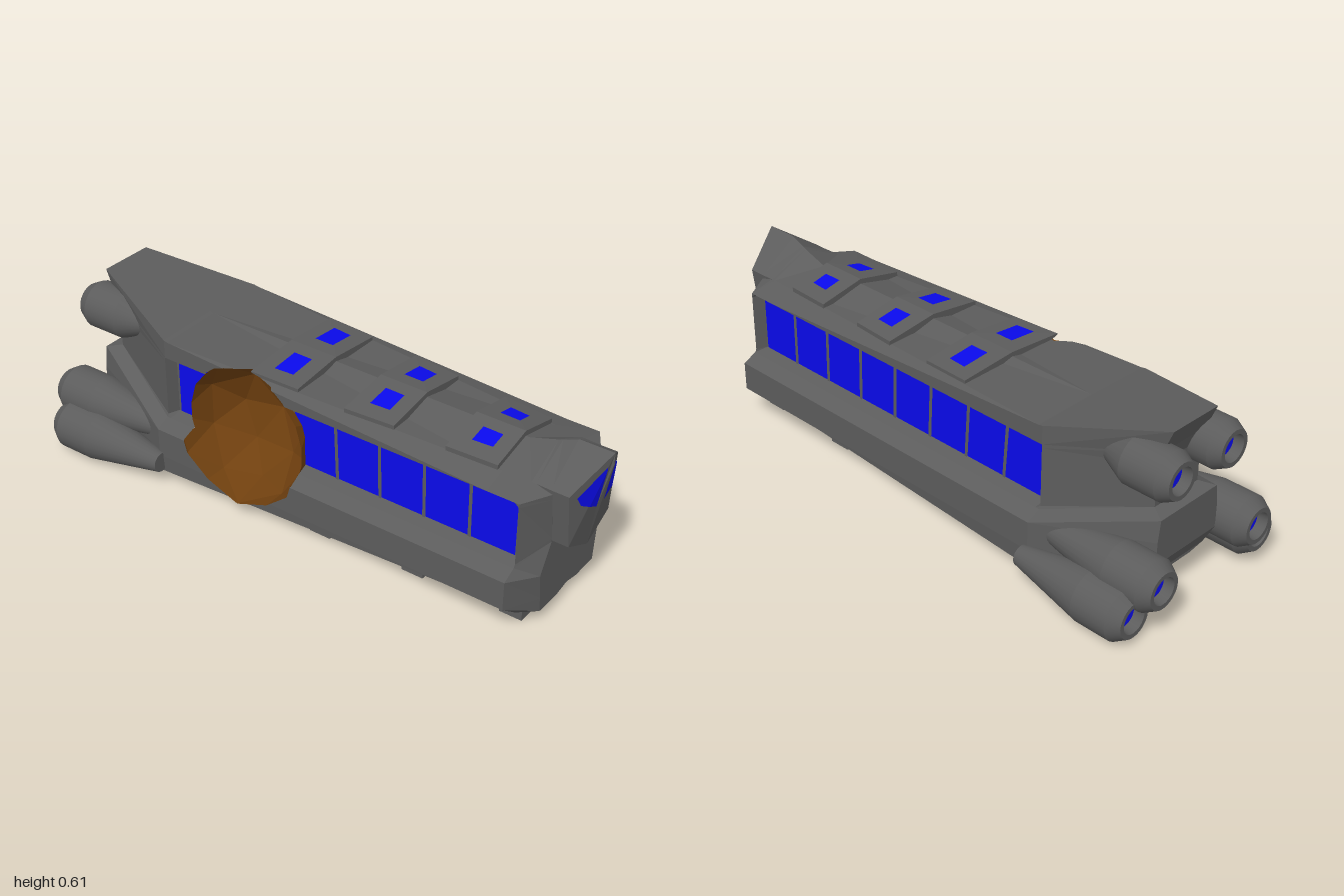
import * as THREE from 'three';

const grey = new THREE.MeshStandardMaterial({ color: 0x5c5c5c, flatShading: true });
const smoothGrey = new THREE.MeshStandardMaterial({ color: 0x5c5c5c });
const blue = new THREE.MeshStandardMaterial({ color: 0x0a0aea, side: THREE.DoubleSide });
const brown = new THREE.MeshStandardMaterial({ color: 0x70400f, side: THREE.DoubleSide, flatShading: true });
const V = (x, y, z) => new THREE.Vector3(x, y, z);

// Faceted ball that is carved out of the -x side as blast damage
const ballFaces = [], ballPlanes = [];
{
  const p = new THREE.IcosahedronGeometry(0.248, 1).translate(-0.285, 0.3, -0.19).attributes.position;
  for (let i = 0; i < p.count; i += 3) {
    const face = [0, 1, 2].map(k => new THREE.Vector3().fromBufferAttribute(p, i + k));
    ballFaces.push(face);
    ballPlanes.push(new THREE.Plane().setFromCoplanarPoints(...face));
  }
}

// Splits a polygon by a plane into its outer and inner parts
function split(poly, plane) {
  const outer = [], inner = [];
  poly.forEach((p, i) => {
    const q = poly[(i + 1) % poly.length];
    const d = plane.distanceToPoint(p), e = plane.distanceToPoint(q);
    if (d >= 0) outer.push(p);
    if (d <= 0) inner.push(p);
    if (d * e < 0) {
      const m = p.clone().lerp(q, d / (d - e));
      outer.push(m);
      inner.push(m);
    }
  });
  return [outer, inner];
}

// The parts of a polygon that lie outside the ball
function carve(poly) {
  const kept = [];
  let rest = poly;
  for (const plane of ballPlanes) {
    const [outer, inner] = split(rest, plane);
    if (inner.length < 3) return [poly];
    if (outer.length > 2) kept.push(outer);
    rest = inner;
  }
  return kept;
}

// Collects flat polygons for the +x side and their carved mirror images on the -x side
class Faces {
  constructor() { this.pos = []; }
  fan(p) {
    for (let i = 1; i < p.length - 1; i++) [p[0], p[i], p[i + 1]].forEach(v => this.pos.push(v.x, v.y, v.z));
  }
  poly(...p) {
    for (let i = 1; i < p.length - 1; i++) {
      const t = [p[0], p[i], p[i + 1]];
      this.fan(t.map(v => V(...v)));
      carve(t.reverse().map(v => V(-v[0], v[1], v[2]))).forEach(c => this.fan(c));
    }
  }
  // half rings run from bottom centre up the +x side to top centre, front ring first
  loft(rings) {
    for (let s = 0; s < rings.length - 1; s++) {
      const a = rings[s], b = rings[s + 1];
      for (let k = 0; k < a.length - 1; k++) this.poly(a[k], b[k], b[k + 1], a[k + 1]);
    }
  }
  mesh(name, material) {
    const g = new THREE.BufferGeometry();
    g.setAttribute('position', new THREE.Float32BufferAttribute(this.pos, 3));
    g.computeVertexNormals();
    const m = new THREE.Mesh(g, material);
    m.name = name;
    return m;
  }
}

// Hull cross-section behind the nose: bottom corner, wall inset, roof edge and ridge vary
const body = (z, bottomX, wall, edgeX, edgeY, ridge) => [
  [0, 0.057], [0.06, 0.045], [bottomX, 0.047], [0.29, 0.11], [0.29, 0.212], [0.24, 0.236],
  [wall, 0.246], [wall, 0.452], [0.235, 0.465], [edgeX, edgeY], [0, ridge]].map(p => [...p, z]);

function hull() {
  const nose = [[0, 0.057], [0.06, 0.045], [0.16, 0.047], [0.165, 0.1], [0.175, 0.19], [0.122, 0.287],
    [0.123, 0.3], [0.14, 0.45], [0.143, 0.47], [0.145, 0.485], [0, 0.585]].map(p => [...p, 0.885]);
  // the tail steps forward above a ledge, then the roof overhangs it
  const tail = [[0, 0.11, -0.88], [0.05, 0.11, -0.88], [0.11, 0.12, -0.88], [0.14, 0.17, -0.9],
    [0.14, 0.25, -0.9], [0.13, 0.325, -0.9], [0.1, 0.335, -0.85], [0.1, 0.48, -0.85],
    [0.1, 0.53, -0.865], [0.1, 0.615, -0.9], [0, 0.615, -0.9]];
  const rings = [nose, body(0.83, 0.21, 0.235, 0.145, 0.487, 0.563),
    body(0.815, 0.211, 0.195, 0.145, 0.488, 0.557), body(0.72, 0.216, 0.195, 0.15, 0.49, 0.526),
    body(-0.51, 0.285, 0.195, 0.235, 0.527, 0.53), body(-0.525, 0.286, 0.235, 0.235, 0.53, 0.533), tail];
  const f = new Faces();
  f.loft(rings);
  const axis = p => [0, p[1], p[2]];
  for (let k = 0; k < nose.length - 1; k++) {
    f.poly([0, 0.3, 0.885], nose[k], nose[k + 1]);
    f.poly(tail[k + 1], tail[k], axis(tail[k]), axis(tail[k + 1]));
  }
  return f.mesh('hull', grey);
}

// Pointed cockpit with a centre ridge and two slanted panes
function cockpit(group) {
  const T = [0, 0.585, 1], S = [0.145, 0.485, 0.94], L = [0.12, 0.29, 0.94], B = [0, 0.23, 0.94];
  const front = [B, L, S, T];
  const f = new Faces();
  f.loft([front, front.map(p => [p[0], p[1], 0.88])]);
  f.poly(T, B, L, S);
  const plane = (...corners) => {
    const p = new THREE.Plane().setFromCoplanarPoints(...corners.map(v => V(...v)));
    return (x, y) => -(p.constant + p.normal.x * x + p.normal.y * y) / p.normal.z;
  };
  const upper = plane(T, L, S), lower = plane(T, B, L);
  const E = [0.02, 0.4, lower(0.02, 0.4) + 0.002], P = [0, 0.545, 1];
  f.poly(P, E, T);
  f.poly(P, B, E);
  group.add(f.mesh('cockpit', grey));

  const w = new Faces();
  const on = z => ([x, y]) => [x, y, z(x, y) + 0.003];
  w.poly(...[[0.022, 0.531], [0.067, 0.419], [0.1, 0.437], [0.118, 0.47], [0.022, 0.545]].map(on(upper)));
  w.poly(...[[0.022, 0.531], [0.022, 0.395], [0.067, 0.419]].map(on(lower)));
  group.add(w.mesh('cockpitWindows', blue));
}

// Row of eight recessed panes on each side, with bars that lean more toward the rear
function sideWindows(group) {
  const panes = new Faces(), bars = new Faces(), pitch = 0.1645;
  const quad = (f, x, z0, z1, lean0, lean1, y0, y1) =>
    f.poly([x, y0, z0], [x, y0, z1], [x, y1, z1 - lean1], [x, y1, z0 - lean0]);
  const lean = i => (i < 8 ? i * 0.002 : 0);
  for (let i = 0; i < 8; i++) {
    const z = 0.808 - i * pitch;
    quad(panes, 0.198, z, z - pitch + 0.009, lean(i), lean(i + 1), 0.248, 0.446);
    if (i) quad(bars, 0.201, z + 0.01, z - 0.001, lean(i), lean(i), 0.246, 0.452);
  }
  group.add(panes.mesh('sideWindows', blue), bars.mesh('windowBars', grey));
}

// Raised roof panels following the roof slope, each with a small skylight
function roofPanels(group) {
  const panels = new Faces(), lights = new Faces();
  const rows = [ // rear z, front z, rear width, front width, skylight x and z ranges
    [-0.18, 0, 0.21, 0.2, 0.055, 0.158, -0.125, -0.055],
    [0.175, 0.35, 0.195, 0.178, 0.05, 0.135, 0.23, 0.3],
    [0.53, 0.705, 0.168, 0.155, 0.047, 0.11, 0.585, 0.655]];
  for (const [zr, zf, wr, wf, x0, x1, z0, z1] of rows) {
    const width = z => wr + (wf - wr) * (z - zr) / (zf - zr);
    const edge = z => 0.505 + 0.032 * (0.72 - z) / 1.225;
    const top = (x, z) => [x, 0.544 + (edge(z) - 0.544) * x / width(z), z];
    const down = p => [p[0], p[1] - 0.03, p[2]];
    const a = top(0, zf), b = top(width(zf), zf), c = top(width(zr), zr), d = top(0, zr);
    panels.poly(a, b, c, d);
    panels.poly(down(a), down(b), b, a);
    panels.poly(down(b), down(c), c, b);
    panels.poly(down(c), down(d), d, c);
    const pane = [[x0, z1], [x1 - 0.006, z1], [x1, z0], [x0, z0]].map(([x, z]) => top(x, z));
    lights.poly(...pane.map(p => [p[0], p[1] + 0.003, p[2]]));
  }
  group.add(panels.mesh('roofPanels', grey), lights.mesh('skylights', blue));
}

// Engine along -z: tapered cowl, straight drum, bevelled rim and recessed glow
function engine(name, x, y, tip, end, r) {
  const g = new THREE.Group();
  g.name = name;
  const profile = [[0, tip], [0.035, tip], [r, end + 0.17], [r, end + 0.04], [0.062, end],
    [0.046, end], [0.04, end + 0.04]];
  // separate bands keep the edges between them crisp
  for (let i = 0; i < profile.length - 1; i++) {
    const pts = [profile[i], profile[i + 1]].map(([pr, z]) => new THREE.Vector2(pr, -z));
    const band = new THREE.Mesh(new THREE.LatheGeometry(pts, 24), smoothGrey);
    band.rotation.x = -Math.PI / 2;
    band.name = 'engineShell';
    g.add(band);
  }
  const glow = new THREE.Mesh(new THREE.CircleGeometry(0.042, 24), blue);
  glow.rotation.y = Math.PI;
  glow.position.z = end + 0.035;
  glow.name = 'engineGlow';
  g.add(glow);
  g.position.set(x, y, 0);
  return g;
}

// Scorched bowl left by the carved ball, trimmed to the hull above and below the ledge
function damageCrater() {
  const plane = (x, y, c) => new THREE.Plane(V(x, y, 0), c);
  const upper = [plane(0, -1, 0.235), plane(-1, 0, -0.235), plane(-0.917, 0.397, -0.4), plane(-0.056, 0.998, -0.528)];
  const lower = [plane(0, 1, -0.235), plane(-1, 0, -0.29), plane(0, -1, 0.05), plane(-0.43, 0.9, -0.316)];
  const f = new Faces();
  for (const face of ballFaces) {
    for (const planes of [upper, lower]) {
      const part = planes.reduce((poly, p) => split(poly, p)[1], face);
      f.fan(part.reverse());
      face.length = 3;
    }
  }
  return f.mesh('damageCrater', brown);
}

export function createModel() {
  const model = new THREE.Group();
  model.name = 'shuttle';
  model.add(hull());
  cockpit(model);
  sideWindows(model);
  roofPanels(model);
  model.add(damageCrater());
  for (const s of [-1, 1]) {
    const side = s > 0 ? 'left' : 'right';
    model.add(
      engine(side + 'UpperEngine', s * 0.12, 0.485, -0.68, -0.957, 0.083),
      engine(side + 'MiddleEngine', s * 0.225, 0.177, -0.54, -1, 0.087),
      engine(side + 'LowerEngine', s * 0.3, 0.09, -0.51, -0.957, 0.088));
    // landing pads, spread a little wider toward the rear
    for (let i = 0; i < 4; i++) {
      const pad = new THREE.Mesh(new THREE.BoxGeometry(0.08, 0.05, 0.08), grey);
      pad.position.set(s * (0.146 + i * 0.0115), 0.028, 0.8 - i * 0.355);
      pad.name = 'landingPad';
      model.add(pad);
    }
  }
  return model;
}
